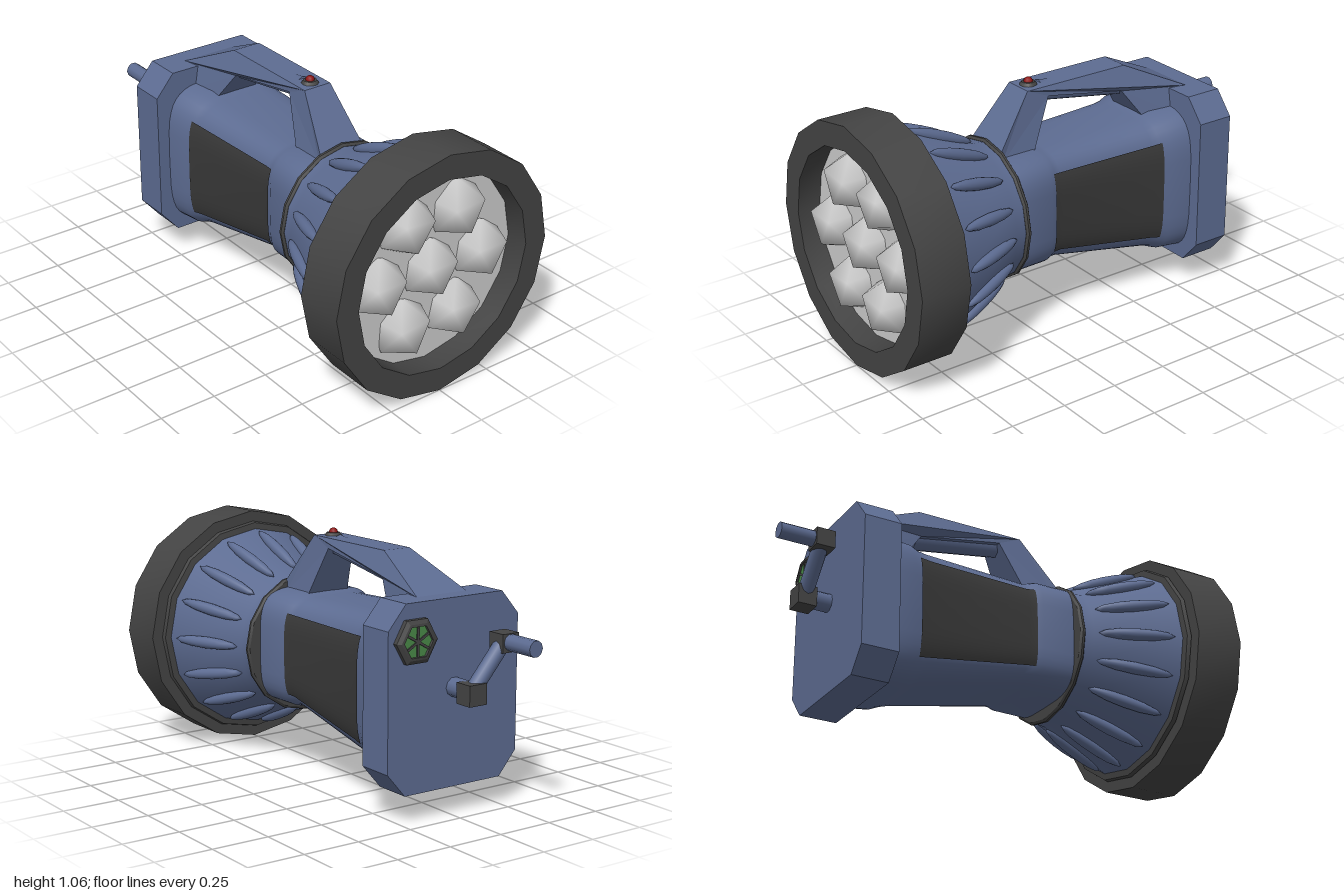
import * as THREE from 'three';
import { mergeVertices, toCreasedNormals } from 'three/addons/utils/BufferGeometryUtils.js';

const paint = (color, side = THREE.FrontSide) => new THREE.MeshStandardMaterial({ color, side });
const AXIS = 0.53; // height of the lamp's long axis

export function createModel() {
  const model = new THREE.Group();
  const blue = paint(0x5d6c92), blueThin = paint(0x5d6c92, THREE.DoubleSide);
  const dark = paint(0x444444), rubber = paint(0x383838, THREE.DoubleSide);
  const red = paint(0x8c1414), green = paint(0x4a8a48), grey = paint(0xcccccc);

  const add = (name, geometry, material, x = 0, y = 0, z = 0, parent = model) => {
    const mesh = new THREE.Mesh(geometry, material);
    mesh.name = name;
    mesh.position.set(x, y, z);
    parent.add(mesh);
    return mesh;
  };
  // Turned part along x from [x, radius] pairs
  const turned = (profile, sides, crease = 0.6) => {
    const points = profile.map(([x, r]) => new THREE.Vector2(r, x));
    return toCreasedNormals(new THREE.LatheGeometry(points, sides).rotateZ(-Math.PI / 2), crease);
  };
  // Round bar between two points
  const rod = (name, from, to, r, material) => {
    const a = new THREE.Vector3(...from), b = new THREE.Vector3(...to);
    const mesh = add(name, new THREE.CylinderGeometry(r, r, a.distanceTo(b), 10), material);
    mesh.position.copy(a).lerp(b, 0.5);
    mesh.quaternion.setFromUnitVectors(new THREE.Vector3(0, 1, 0), b.sub(a).normalize());
  };

  // Body: rounded cross-sections [x, bottom, top, half width]
  const sections = [
    [-0.54, 0.15, 0.815, 0.272], [-0.43, 0.162, 0.808, 0.264], [-0.39, 0.178, 0.797, 0.248],
    [-0.35, 0.19, 0.792, 0.242], [0.12, 0.285, 0.775, 0.222], [0.15, 0.287, 0.778, 0.228],
    [0.185, 0.282, 0.787, 0.245], [0.35, 0.28, 0.787, 0.247],
  ];
  const power = (v) => Math.sign(v) * Math.sqrt(Math.abs(v));
  const loft = (rows, a0, a1, steps, grow = 0) => {
    const positions = [], index = [];
    rows.forEach(([x, bottom, top, half], i) => {
      for (let j = 0; j <= steps; j++) {
        const a = a0 + (a1 - a0) * j / steps;
        positions.push(x, (bottom + top) / 2 + power(Math.sin(a)) * (top - bottom) / 2,
          power(Math.cos(a)) * (half + grow));
        if (i && j) {
          const q = i * (steps + 1) + j, p = q - steps - 1;
          index.push(p - 1, q - 1, q, p - 1, q, p);
        }
      }
    });
    const geometry = new THREE.BufferGeometry();
    geometry.setAttribute('position', new THREE.Float32BufferAttribute(positions, 3));
    geometry.setIndex(index);
    return toCreasedNormals(geometry, 0.6);
  };
  add('body', loft(sections, 0, Math.PI * 2, 40), blueThin);

  // Rubber grip panels on both sides
  const gripRows = sections.slice(2, 6);
  gripRows[0] = [-0.4, ...gripRows[0].slice(1)];
  gripRows[3] = [0.16, ...gripRows[3].slice(1)];
  [0, Math.PI].forEach((middle, i) =>
    add(i ? 'rightGrip' : 'leftGrip', loft(gripRows, middle - 0.55, middle + 0.55, 12, 0.009), rubber));

  // Chamfered back plate
  const plate = new THREE.Shape([
    [-0.325, -0.285], [-0.24, -0.385], [0.24, -0.385], [0.325, -0.285],
    [0.325, 0.285], [0.24, 0.385], [-0.24, 0.385], [-0.325, 0.285],
  ].map((p) => new THREE.Vector2(...p)));
  add('backPlate', new THREE.ExtrudeGeometry(plate, { depth: 0.165, bevelEnabled: false }).rotateY(Math.PI / 2),
    blue, -0.7, 0.505, 0);

  // Carrying handle: side profile whose width flares towards both feet
  const handleShape = new THREE.Shape([
    [-0.62, 0.86], [-0.62, 0.888], [-0.32, 1.03], [0.18, 1.03], [0.34, 0.815], [0.34, 0.76],
    [0.18, 0.76], [0.075, 0.985], [-0.31, 0.915], [-0.4, 0.79], [-0.53, 0.79],
  ].map((p) => new THREE.Vector2(...p)));
  const handle = new THREE.ExtrudeGeometry(handleShape, { depth: 2, bevelEnabled: false }).translate(0, 0, -1);
  const hp = handle.attributes.position;
  for (let i = 0; i < hp.count; i++) {
    const x = hp.getX(i), y = hp.getY(i);
    const half = x < -0.5 ? 0.125 : x < -0.35 ? 0.1 : y < 0.9 ? 0.105 : 0.065;
    hp.setZ(i, hp.getZ(i) * half);
  }
  handle.computeVertexNormals();
  add('handle', handle, blue);
  // Tapered underside of the hand grip
  const under = new THREE.CylinderGeometry(0.046, 0.05, 0.42, 8).rotateZ(-Math.PI / 2 + 0.16);
  add('handleUnderside', under, blue, -0.12, 0.96, 0);

  // Switch on the handle
  add('switchBase', new THREE.CylinderGeometry(0.028, 0.038, 0.014, 10), dark, 0.13, 1.036, 0);
  add('switchButton', new THREE.SphereGeometry(0.02, 10, 8), red, 0.13, 1.042, 0);

  // Lamp head: collar, cone, seam and bezel
  add('neckCollar', turned([[0.333, 0.23], [0.333, 0.3], [0.34, 0.31], [0.35, 0.31], [0.358, 0.3], [0.358, 0.23]], 16),
    dark, 0, AXIS);
  add('headCone', turned([[0.35, 0], [0.35, 0.298], [0.405, 0.305], [0.75, 0.45], [0.79, 0.455]], 16), blue, 0, AXIS);
  add('headSeam', turned([[0.752, 0.44], [0.757, 0.478], [0.775, 0.483], [0.79, 0.44]], 16), dark, 0, AXIS);
  add('bezel', turned([[0.78, 0.44], [0.78, 0.53], [1, 0.53], [1, 0.425], [0.89, 0.422]], 16), dark, 0, AXIS);
  add('reflector', turned([[0.9, 0.43], [0.9, 0]], 16), grey, 0, AXIS);

  // Ribs around the cone
  const ribs = new THREE.Group();
  ribs.name = 'headRibs';
  ribs.position.y = AXIS;
  model.add(ribs);
  const ribGeometry = new THREE.SphereGeometry(1, 12, 8).scale(0.166, 0.026, 0.026).rotateZ(0.398)
    .translate(0.568, 0.378, 0);
  for (let i = 0; i < 16; i++) add('rib', ribGeometry, blue, 0, 0, 0, ribs).rotation.x = i * Math.PI / 8;

  // Faceted bulbs: icosahedra with one corner pair upright, softly shaded
  let bulb = new THREE.IcosahedronGeometry(0.135, 0);
  bulb.deleteAttribute('normal');
  bulb.deleteAttribute('uv');
  bulb = mergeVertices(bulb);
  const out = new THREE.Vector3(1, 1, 1).normalize();
  const up = new THREE.Vector3(-1, (1 + Math.sqrt(5)) / 2, 0).projectOnPlane(out).normalize();
  bulb.applyMatrix4(new THREE.Matrix4().makeBasis(out, up, out.clone().cross(up)).transpose());
  bulb.computeVertexNormals();
  add('bulb', bulb, grey, 0.885, AXIS, 0);
  for (let i = 0; i < 6; i++) {
    const a = i * Math.PI / 3;
    const mesh = add('bulb', bulb, grey, 0.885, AXIS + Math.sin(a) * 0.263, Math.cos(a) * 0.256);
    mesh.rotation.x = i % 3 ? (i % 3 - 1.5) * 0.16 : 0;
  }

  // Crank on the back plate
  rod('crankShaft', [-0.69, 0.53, 0], [-0.78, 0.53, 0], 0.04, blue);
  rod('crankArm', [-0.81, 0.53, 0], [-0.81, 0.715, 0.16], 0.033, blue);
  rod('crankHandle', [-0.83, 0.715, 0.16], [-1, 0.715, 0.16], 0.034, blue);
  add('crankJoint', new THREE.BoxGeometry(0.082, 0.086, 0.086), dark, -0.81, 0.525, 0);
  add('crankJoint', new THREE.BoxGeometry(0.082, 0.076, 0.08), dark, -0.81, 0.713, 0.16);

  // Charge indicator with spoked cover
  const dial = new THREE.Group();
  dial.name = 'chargeIndicator';
  dial.position.set(-0.7, 0.74, -0.2);
  model.add(dial);
  add('indicatorFrame', turned([[-0.018, 0.068], [-0.032, 0.07], [-0.03, 0.082], [-0.02, 0.1], [0.01, 0.1]], 6, 0.3),
    dark, 0, 0, 0, dial);
  add('indicatorLight', new THREE.CylinderGeometry(0.072, 0.072, 0.02, 6).rotateZ(Math.PI / 2), green, -0.012, 0, 0, dial);
  for (let i = 0; i < 3; i++) {
    add('indicatorSpoke', new THREE.BoxGeometry(0.008, 0.138, 0.01), dark, -0.024, 0, 0, dial).rotation.x = i * Math.PI / 3;
  }
  return model;
}
